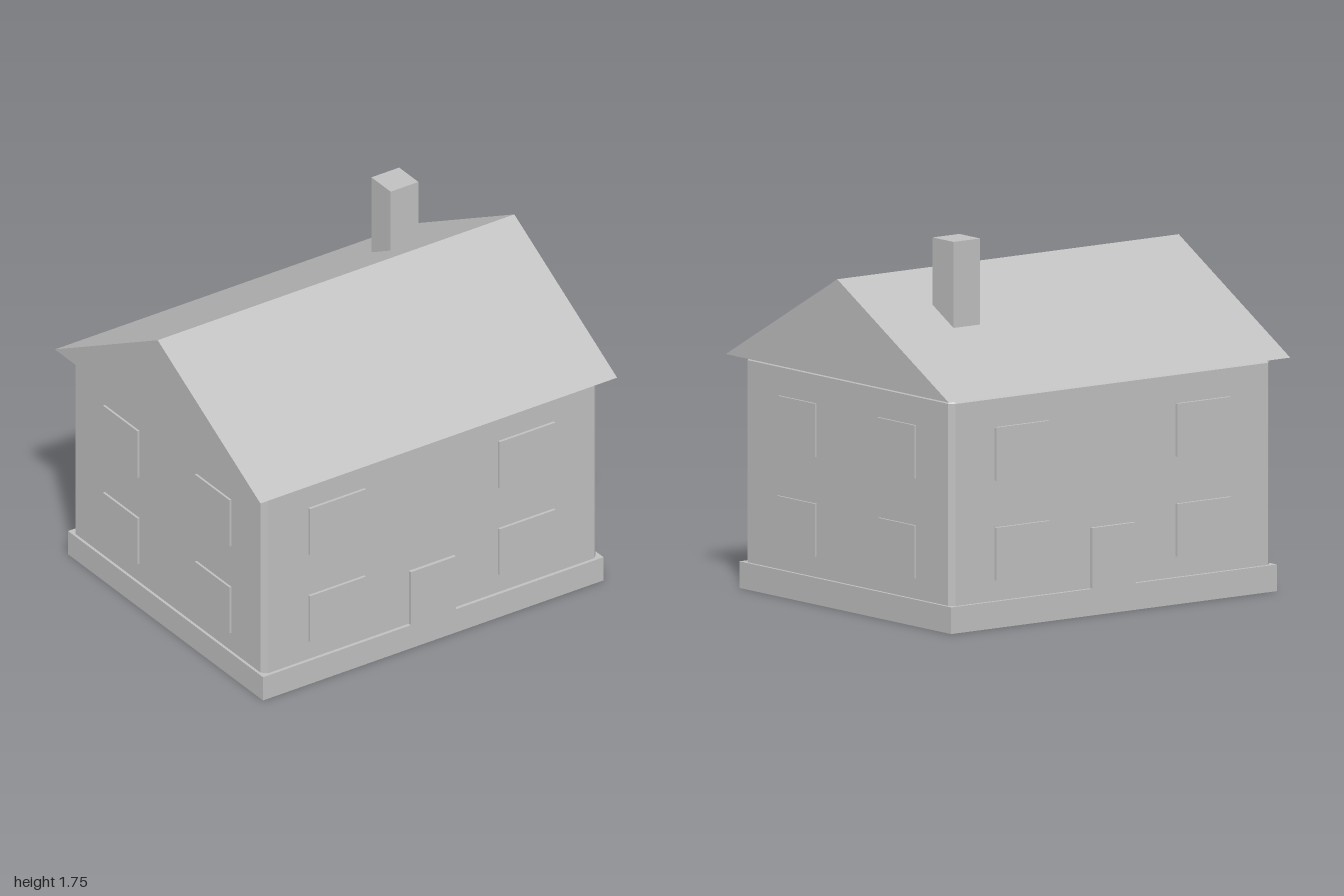
import * as THREE from 'three';
import { ConvexGeometry } from 'three/addons/geometries/ConvexGeometry.js';

// Box with every edge and corner chamfered by c
function chamferedBox(hx, hy, hz, c) {
  const points = [];
  for (const x of [-1, 1]) for (const y of [-1, 1]) for (const z of [-1, 1]) {
    points.push(
      new THREE.Vector3(x * hx, y * (hy - c), z * (hz - c)),
      new THREE.Vector3(x * (hx - c), y * hy, z * (hz - c)),
      new THREE.Vector3(x * (hx - c), y * (hy - c), z * hz));
  }
  return new ConvexGeometry(points);
}

// Hollow gable roof: two slopes and two gables, open underneath
function gableRoof(hx, hz, eave, ridge) {
  const corners = [
    [-hx, eave, hz], [hx, eave, hz], [hx, eave, -hz], [-hx, eave, -hz],
    [-hx, ridge, 0], [hx, ridge, 0],
  ];
  const faces = [0, 1, 5, 0, 5, 4, 2, 3, 4, 2, 4, 5, 1, 2, 5, 3, 0, 4];
  const geometry = new THREE.BufferGeometry();
  geometry.setAttribute('position',
    new THREE.Float32BufferAttribute(faces.flatMap((i) => corners[i]), 3));
  geometry.computeVertexNormals();
  return geometry;
}

export function createModel() {
  const house = new THREE.Group();
  house.name = 'house';
  const plaster = new THREE.MeshStandardMaterial({ color: 0xc0c0c0 });
  plaster.name = 'grey plaster';
  const roofGrey = plaster;
  roofGrey.side = THREE.DoubleSide;

  function add(name, geometry, x = 0, y = 0, z = 0) {
    const mesh = new THREE.Mesh(geometry, plaster);
    mesh.name = name;
    mesh.position.set(x, y, z);
    house.add(mesh);
  }
  // Box given by its limits on each axis
  function box(name, [x0, x1], [y0, y1], [z0, z1]) {
    add(name, new THREE.BoxGeometry(x1 - x0, y1 - y0, z1 - z0),
      (x0 + x1) / 2, (y0 + y1) / 2, (z0 + z1) / 2);
  }

  // Main volumes
  box('plinth', [-0.957, 0.952], [0, 0.125], [-0.796, 0.799]);
  add('walls', chamferedBox(0.94, 0.525, 0.78, 0.025), -0.003, 0.573, 0.002);
  add('roof', gableRoof(1, 0.84, 1.097, 1.562));
  box('chimney', [0.466, 0.622], [1.3, 1.75], [-0.39, -0.233]);

  // Doors, flush with the plinth, front and back
  box('frontDoor', [-0.128, 0.124], [0.125, 0.41], [0.76, 0.799]);
  box('backDoor', [-0.128, 0.124], [0.125, 0.41], [-0.796, -0.76]);

  // Two storeys of windows on all four walls
  for (const storey of [[0.222, 0.47], [0.69, 0.94]]) {
    for (const x of [[-0.691, -0.377], [0.372, 0.685]]) {
      box('frontWindow', x, storey, [0.77, 0.796]);
      box('backWindow', x, storey, [-0.793, -0.77]);
    }
    for (const z of [[-0.514, -0.231], [0.236, 0.519]]) {
      box('leftWindow', [0.92, 0.947], storey, z);
      box('rightWindow', [-0.954, -0.92], storey, z);
    }
  }
  return house;
}
